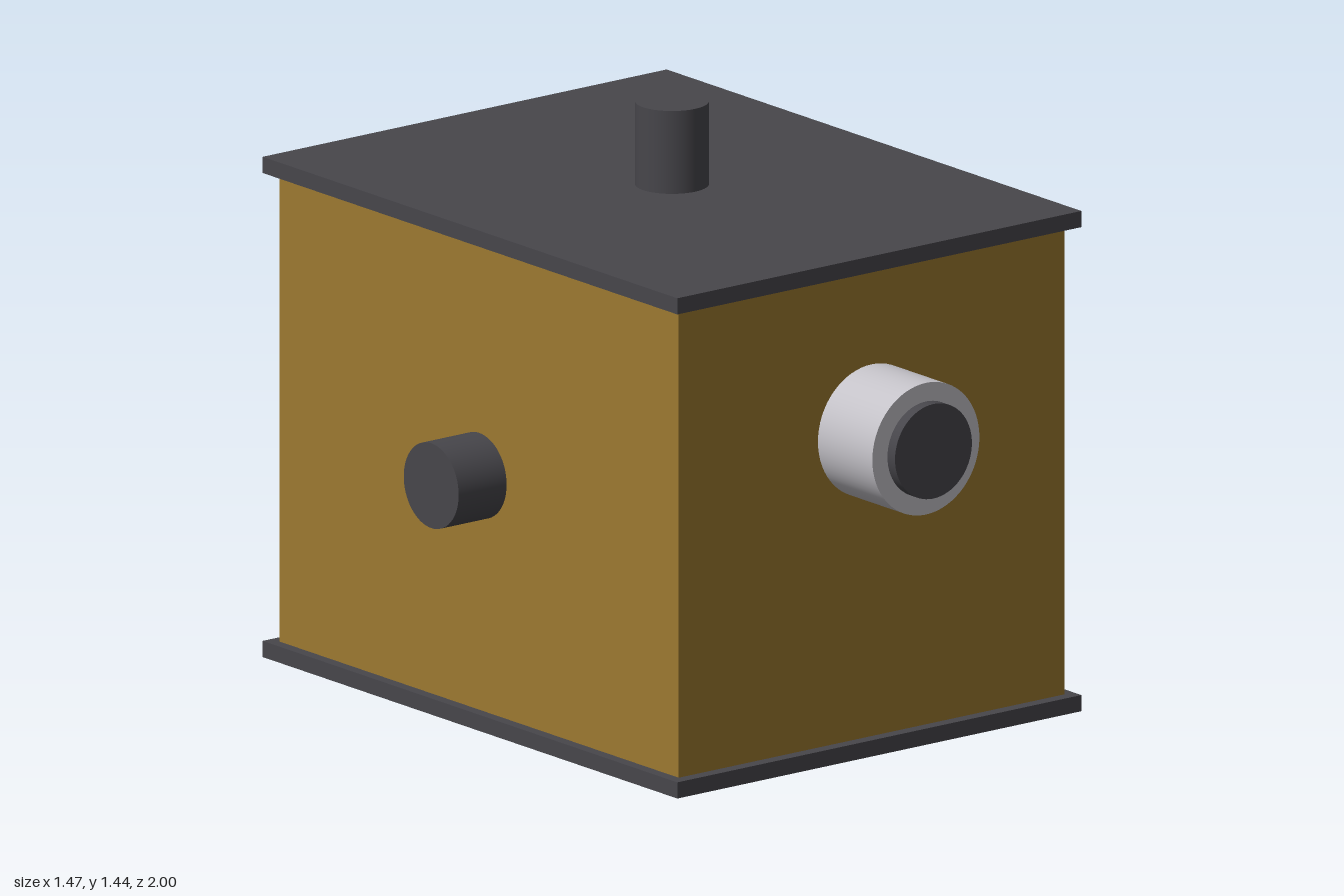
import * as THREE from 'three';

export function createModel() {
  const model = new THREE.Group();
  model.name = 'boxWithKnobs';

  const material = (name, color) => {
    const m = new THREE.MeshStandardMaterial({ color });
    m.name = name;
    return m;
  };
  const brass = material('brass', 0x9c7930);
  const darkMetal = material('dark metal', 0x47464b);
  const silver = material('silver', 0xc4c2c8);

  const box = (name, mat, w, h, d, y) => {
    const mesh = new THREE.Mesh(new THREE.BoxGeometry(w, h, d), mat);
    mesh.name = name;
    mesh.position.y = y;
    model.add(mesh);
  };

  // Round stub running from point a to point b
  const up = new THREE.Vector3(0, 1, 0);
  const stub = (name, mat, radius, a, b) => {
    const from = new THREE.Vector3(...a);
    const axis = new THREE.Vector3(...b).sub(from);
    const length = axis.length();
    const mesh = new THREE.Mesh(new THREE.CylinderGeometry(radius, radius, length, 64), mat);
    mesh.name = name;
    mesh.position.copy(from).addScaledVector(axis, 0.5);
    mesh.quaternion.setFromUnitVectors(up, axis.normalize());
    model.add(mesh);
  };

  // Case between two overhanging plates
  box('body', brass, 1.174, 1.16, 1.526, 0.62);
  box('bottomPlate', darkMetal, 1.23, 0.04, 1.586, 0.02);
  box('topPlate', darkMetal, 1.23, 0.04, 1.586, 1.218);

  // Front barrel with its inner disc
  stub('frontBarrel', silver, 0.163, [0, 0.797, 0.74], [0, 0.797, 0.971]);
  stub('frontDisc', darkMetal, 0.117, [0, 0.797, 0.95], [0, 0.797, 1]);

  // Back, top and side stubs
  stub('backStub', darkMetal, 0.205, [0, 0.62, -0.74], [0, 0.62, -1]);
  stub('topStub', darkMetal, 0.088, [0, 1.22, 0], [0, 1.443, 0]);
  for (const [name, s] of [['leftStub', 1], ['rightStub', -1]]) {
    stub(name, darkMetal, 0.105, [s * 0.57, 0.62, 0], [s * 0.733, 0.62, 0]);
  }

  return model;
}
